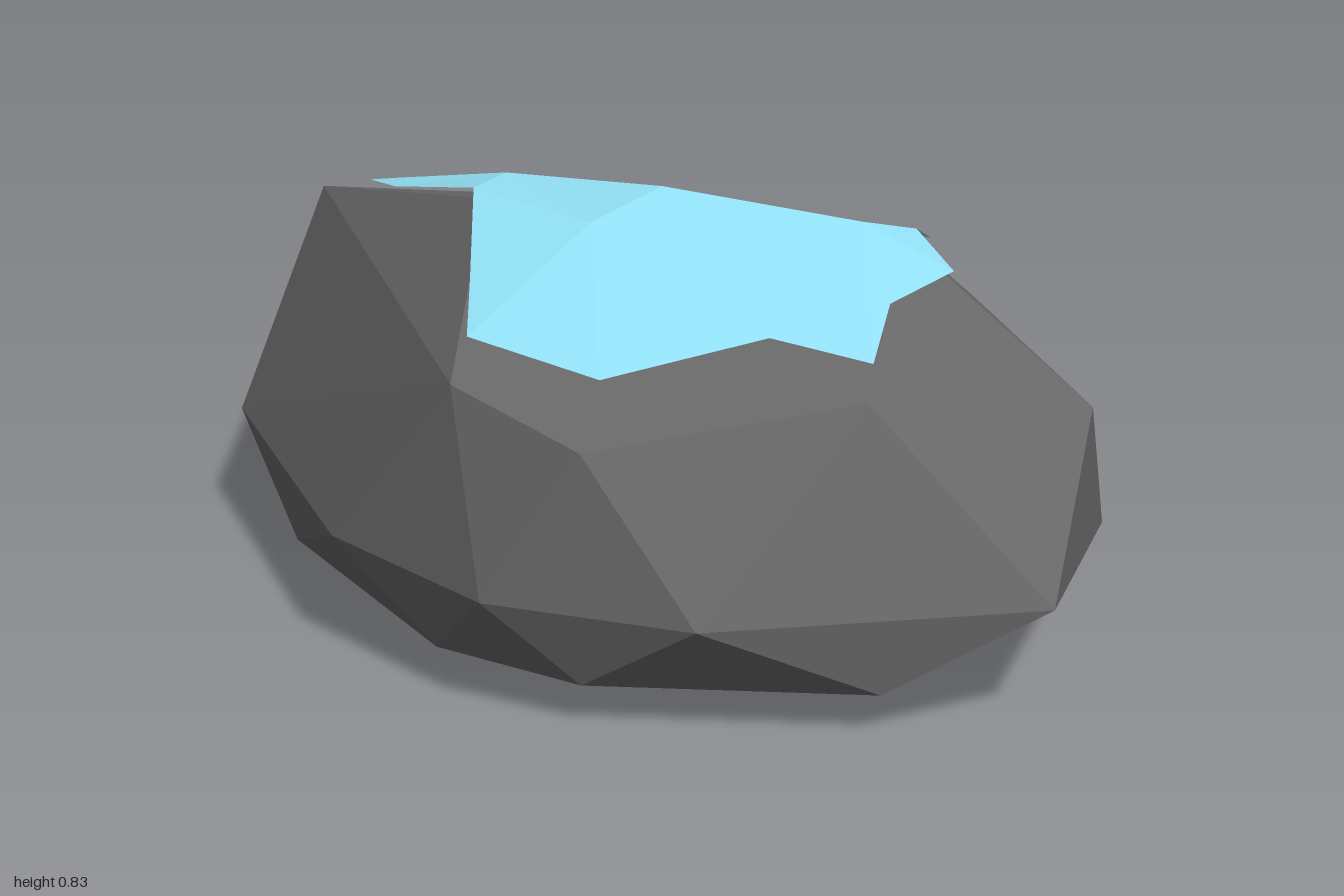
import * as THREE from 'three';
import { ConvexGeometry } from 'three/addons/geometries/ConvexGeometry.js';

const toVec = (p) => new THREE.Vector3(...p);

// Faceted boulder: hull around a few uneven rings of corners
function makeRock() {
  const base = [[-0.38, 0.015, 0], [-0.1, 0.015, 0.4], [0.3, 0.01, 0.38], [0.55, 0.01, 0],
    [0.45, 0, -0.36], [0.2, 0.015, -0.48], [-0.3, 0.015, -0.35]];
  const lower = [[-0.74, 0.08, 0], [-0.62, 0.08, 0.4], [-0.02, 0.08, 0.68], [0.31, 0.08, 0.67], [0.77, 0.08, 0.39],
    [0.66, 0.06, -0.48], [0.23, 0.08, -0.65], [-0.11, 0.08, -0.69], [-0.66, 0.08, -0.48]];
  const belly = [[-0.98, 0.23, 0.17], [-0.3, 0.23, 0.65], [0.15, 0.23, 0.76], [0.55, 0.23, 0.65], [1, 0.23, 0.18],
    [0.81, 0.21, -0.33], [0.44, 0.23, -0.62], [0.09, 0.23, -0.76], [-0.98, 0.21, -0.37]];
  const shoulder = [[-1, 0.65, -0.13], [0, 0.585, 0.65], [0.31, 0.52, 0.67], [0.68, 0.59, 0.31], [0.89, 0.51, -0.13],
    [0.44, 0.57, -0.45], [0.19, 0.575, -0.66], [-0.48, 0.41, -0.66], [-0.66, 0.57, -0.48]];
  const crown = [[-0.29, 0.795, 0.19], [-0.02, 0.8, 0.02], [0.42, 0.735, -0.22]];
  return new ConvexGeometry([...base, ...lower, ...belly, ...shoulder, ...crown].map(toVec));
}

// Thin cap: jagged rim, each rim corner fanned to one of the inner corners
function makeCap() {
  const inner = {
    N: [0.02, 0.833, 0.03], W: [-0.35, 0.81, 0.05], S: [0, 0.8, 0.23], E: [0.39, 0.79, -0.11],
  };
  const rim = [
    [[-0.81, 0.69, -0.16], 'W'], [[-0.77, 0.72, -0.02], 'W'], [[-0.65, 0.735, 0.04], 'W'],
    [[-0.31, 0.815, 0.2], 'S'], [[-0.14, 0.715, 0.42], 'S'], [[-0.03, 0.65, 0.565], 'S'],
    [[0.26, 0.615, 0.545], 'S'], [[0.46, 0.67, 0.3], 'E'], [[0.645, 0.64, 0.24], 'E'],
    [[0.57, 0.7, 0.07], 'E'], [[0.565, 0.71, -0.16], 'E'], [[0.43, 0.755, -0.24], 'E'],
    [[0.19, 0.605, -0.68], 'N'], [[-0.2, 0.625, -0.6], 'N'],
  ];
  const corners = [];
  rim.forEach(([p, hub], i) => {
    const [q, nextHub] = rim[(i + 1) % rim.length];
    corners.push(p, q, inner[hub]);
    if (nextHub !== hub) corners.push(q, inner[nextHub], inner[hub]);
  });
  corners.push(inner.N, inner.W, inner.S, inner.N, inner.S, inner.E);
  const geometry = new THREE.BufferGeometry().setFromPoints(corners.map(toVec));
  geometry.computeVertexNormals();
  return geometry;
}

export function createModel() {
  const group = new THREE.Group();
  group.name = 'cappedRock';

  const rock = new THREE.Mesh(makeRock(), new THREE.MeshStandardMaterial({ color: 0x686868, flatShading: true }));
  rock.name = 'rock';

  const cap = new THREE.Mesh(makeCap(), new THREE.MeshStandardMaterial({
    color: 0x92e0f5, flatShading: true, side: THREE.DoubleSide,
  }));
  cap.name = 'snowCap';

  group.add(rock, cap);
  return group;
}
